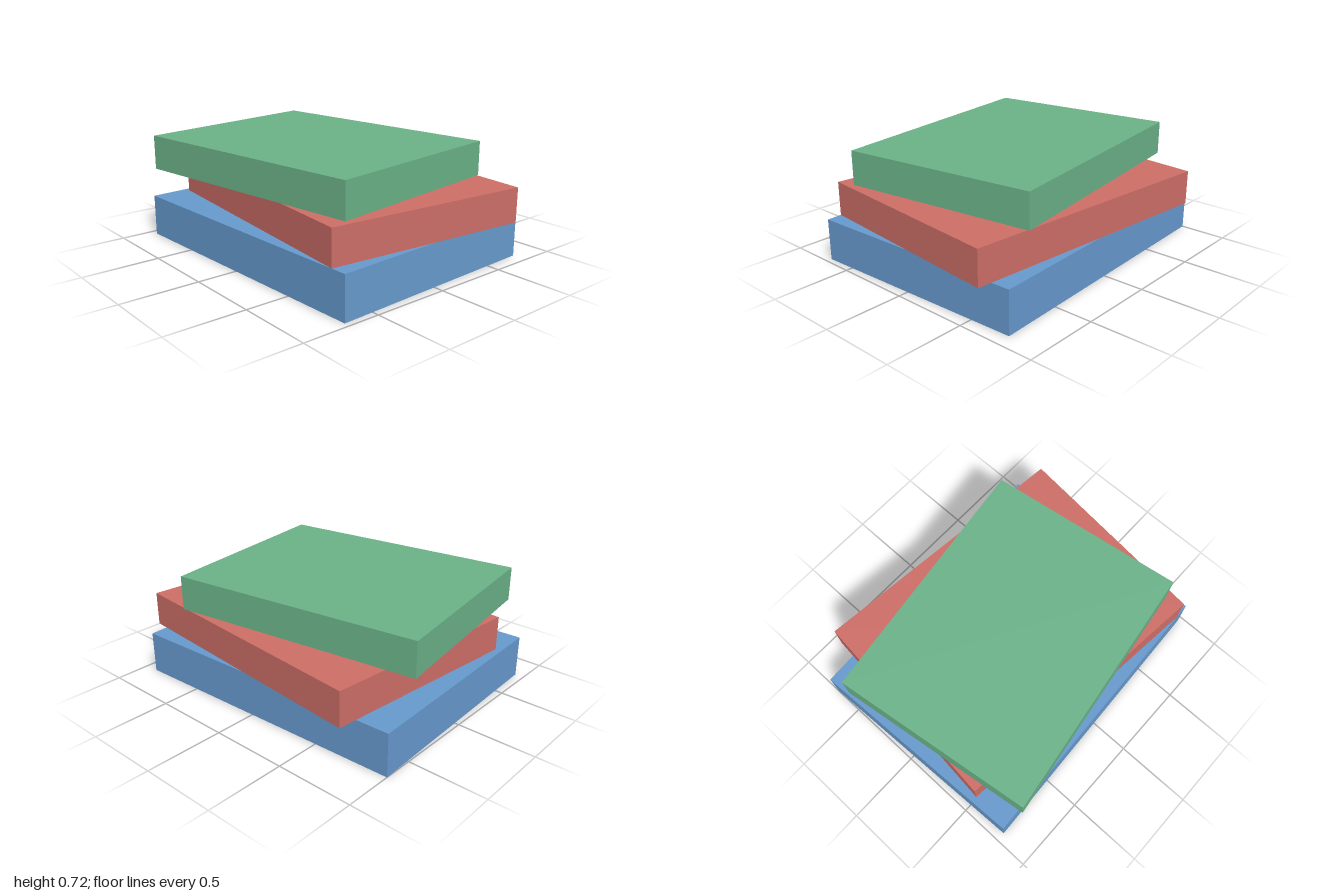
import * as THREE from 'three';

const paint = (name, color) => {
  const material = new THREE.MeshStandardMaterial({ color });
  material.name = name;
  return material;
};

export function createModel() {
  const group = new THREE.Group();
  group.name = 'bookStack';

  // Plain books, bottom to top, each turned a little about the vertical axis
  const books = [
    { name: 'bottomBook', material: paint('blue', 0x6699cc), size: [1.474, 0.273, 1.907], x: -0.005, z: -0.018, turn: 0.04 },
    { name: 'middleBook', material: paint('red', 0xcc6d66), size: [1.355, 0.222, 1.784], x: 0.057, z: 0.044, turn: -0.101 },
    { name: 'topBook', material: paint('green', 0x6ab187), size: [1.289, 0.222, 1.66], x: -0.065, z: -0.08, turn: 0.139 },
  ];

  let y = 0;
  for (const { name, material, size, x, z, turn } of books) {
    const book = new THREE.Mesh(new THREE.BoxGeometry(...size), material);
    book.name = name;
    book.position.set(x, y + size[1] / 2, z);
    book.rotation.y = turn;
    group.add(book);
    y += size[1];
  }
  return group;
}
